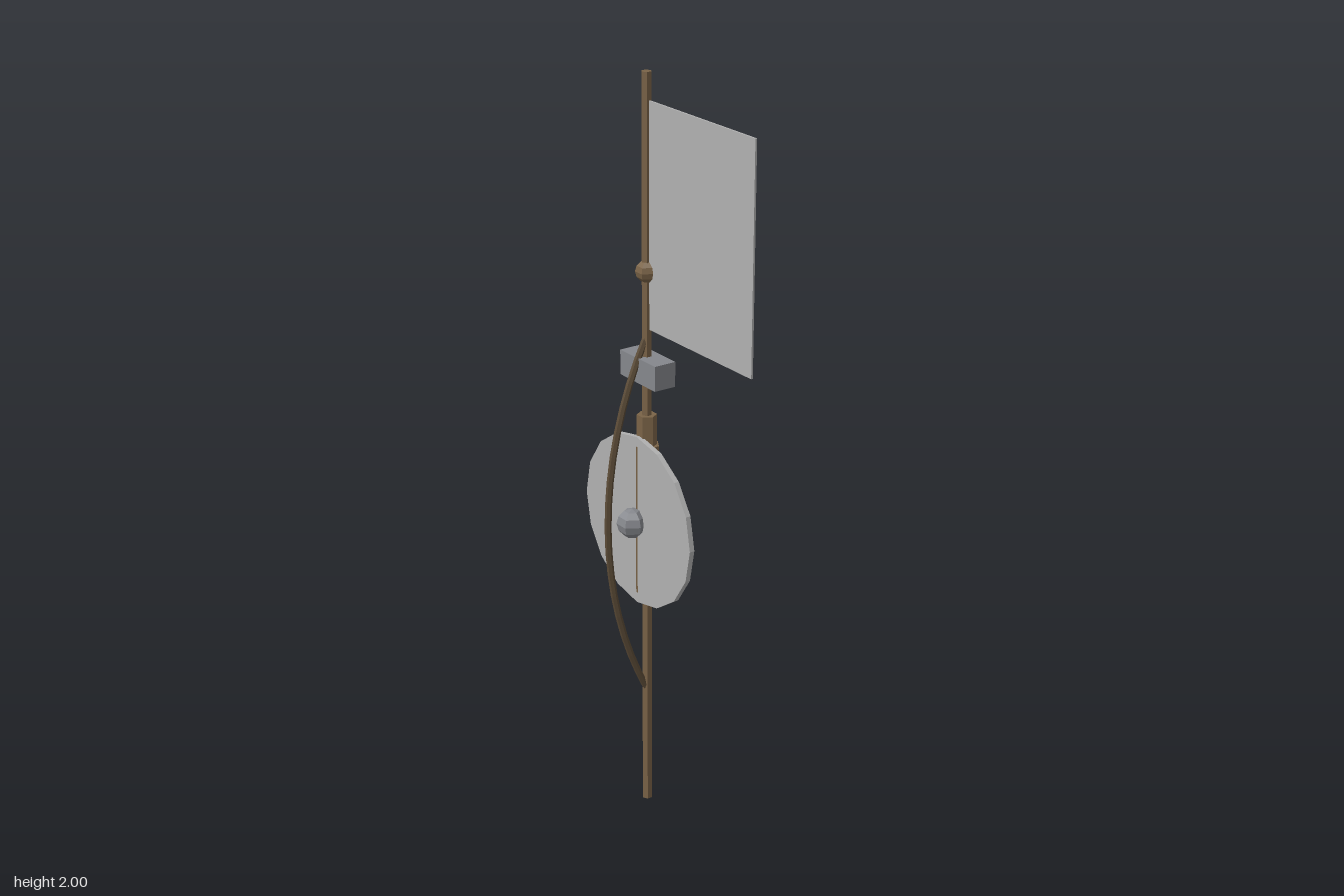
import * as THREE from 'three';

const PX = -0.1, PZ = -0.047; // axis of the pole

function mat(name, color) {
  const m = new THREE.MeshStandardMaterial({ color, flatShading: true });
  m.name = name;
  return m;
}

export function createModel() {
  const group = new THREE.Group();
  const wood = mat('wood', 0x7a6347);
  const darkWood = mat('darkWood', 0x5a4a36);
  const cloth = mat('paleGrey', 0xb0b0b0);
  const iron = mat('iron', 0x85878c);

  const add = (name, geometry, material, x, y, z) => {
    const mesh = new THREE.Mesh(geometry, material);
    mesh.name = name;
    mesh.position.set(x, y, z);
    group.add(mesh);
    return mesh;
  };
  const hexRod = (r, h) => new THREE.CylinderGeometry(r, r, h, 6);

  // Banner pole with its knob and flag
  add('pole', hexRod(0.0135, 2), wood, PX, 1, PZ);
  add('poleKnob', new THREE.SphereGeometry(0.029, 6, 6), wood, PX, 1.5, PZ);
  add('flag', new THREE.BoxGeometry(0.42, 0.58, 0.005), cloth, 0.12, 1.64, PZ - 0.002);

  // Cross block
  add('crossBlock', new THREE.BoxGeometry(0.152, 0.066, 0.062), iron, PX + 0.002, 1.245, PZ - 0.001);

  // Quiver and its collar
  add('quiver', hexRod(0.034, 0.41), wood, PX, 0.833, PZ);
  add('quiverCollar', hexRod(0.026, 0.1), wood, PX, 1.07, PZ).rotation.y = Math.PI / 6;

  // Round shield with its boss and rear grip
  add('shield', new THREE.CylinderGeometry(0.233, 0.233, 0.014, 16), cloth, PX, 0.832, -0.022)
    .rotation.x = Math.PI / 2;
  add('shieldBoss', new THREE.SphereGeometry(0.04, 6, 6), iron, PX, 0.83, 0);
  add('shieldGrip', hexRod(0.01, 0.14), iron, PX, 0.915, PZ).rotation.z = Math.PI / 2;

  // Bow: a circular arc bulging forward, its ends buried in the pole
  const half = 0.5, bulge = 0.121;
  const R = (half * half + bulge * bulge) / (2 * bulge);
  const sweep = Math.asin(half / R);
  const points = [];
  for (let i = 0; i <= 12; i++) {
    const a = sweep * (i / 6 - 1);
    points.push(new THREE.Vector3(0, R * Math.sin(a), R * Math.cos(a) - R + bulge));
  }
  const curve = new THREE.CatmullRomCurve3(points);
  add('bow', new THREE.TubeGeometry(curve, 16, 0.009, 6), darkWood, PX, 0.832, PZ);

  return group;
}
